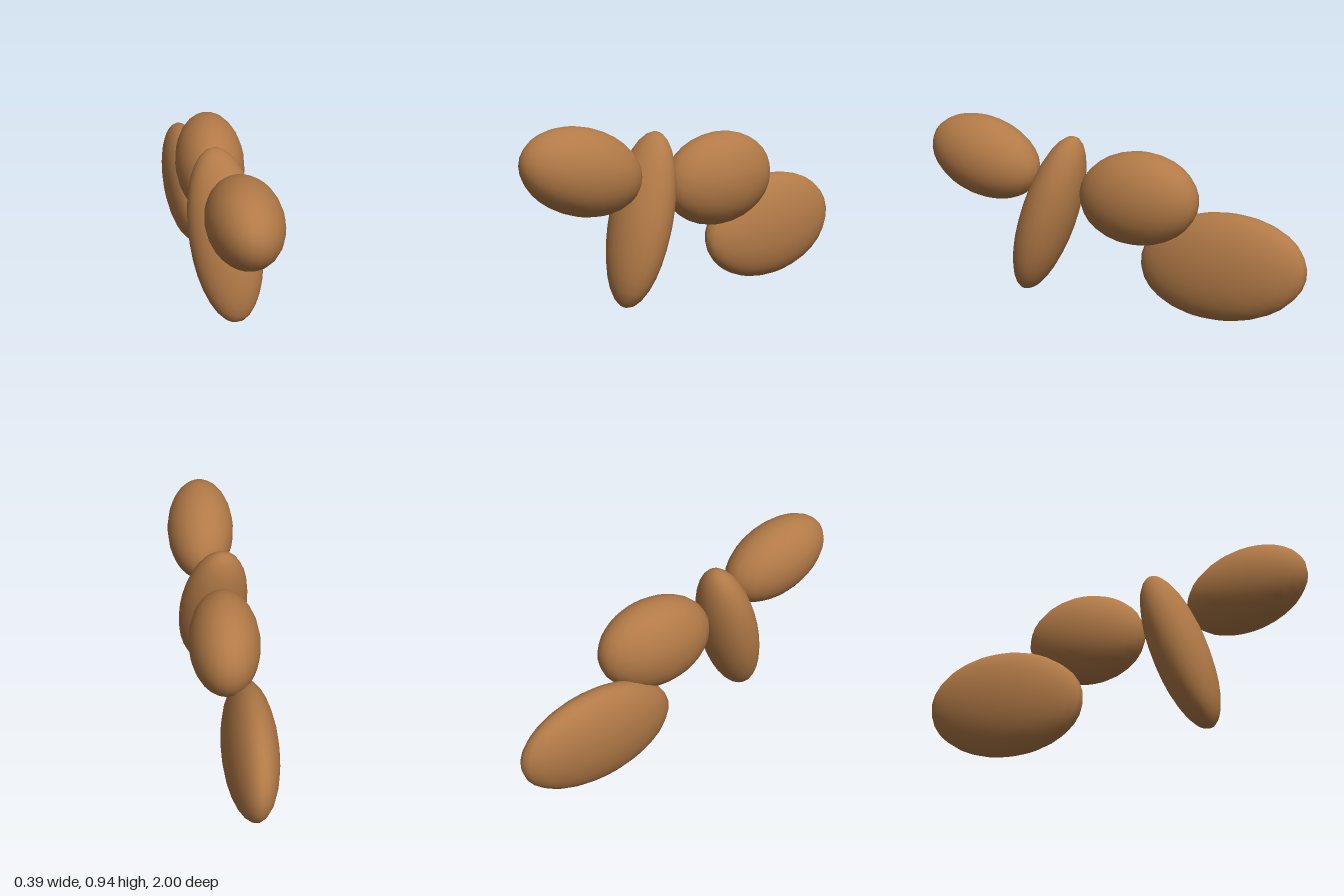
import * as THREE from 'three';

// Each lobe: centre, half extents along x/y/z, and lean (xy, xz, yz) coupling terms
const LOBES = [
  { name: 'frontLobe', centre: [-0.018, 0.732, 0.692], half: [0.178, 0.213, 0.308], lean: [-0.0038, -0.0075, 0.0142] },
  { name: 'uprightLobe', centre: [-0.018, 0.453, 0.342], half: [0.178, 0.413, 0.188], lean: [-0.011, 0.004, -0.049] },
  { name: 'middleLobe', centre: [0.017, 0.594, -0.15], half: [0.178, 0.237, 0.315], lean: [0, -0.0085, -0.004] },
  { name: 'rearLobe', centre: [-0.02, 0.275, -0.572], half: [0.136, 0.275, 0.428], lean: [-0.004, -0.015, -0.011] },
];

// Matrix that turns a unit sphere into the leaning ellipsoid
function ellipsoidMatrix([hx, hy, hz], [xy, xz, yz]) {
  const b = xy / hx;
  const c = xz / hx;
  const d = Math.sqrt(hy * hy - b * b);
  const e = (yz - b * c) / d;
  const f = Math.sqrt(hz * hz - c * c - e * e);
  return new THREE.Matrix4().set(
    hx, 0, 0, 0,
    b, d, 0, 0,
    c, e, f, 0,
    0, 0, 0, 1
  );
}

export function createModel() {
  const model = new THREE.Group();
  model.name = 'lobedFigure';
  const brown = new THREE.MeshStandardMaterial({ color: 0xb27a47 });
  brown.name = 'warm brown';

  for (const { name, centre, half, lean } of LOBES) {
    const geometry = new THREE.SphereGeometry(1, 24, 16);
    geometry.applyMatrix4(ellipsoidMatrix(half, lean));
    const lobe = new THREE.Mesh(geometry, brown);
    lobe.name = name;
    lobe.position.set(...centre);
    model.add(lobe);
  }
  return model;
}
